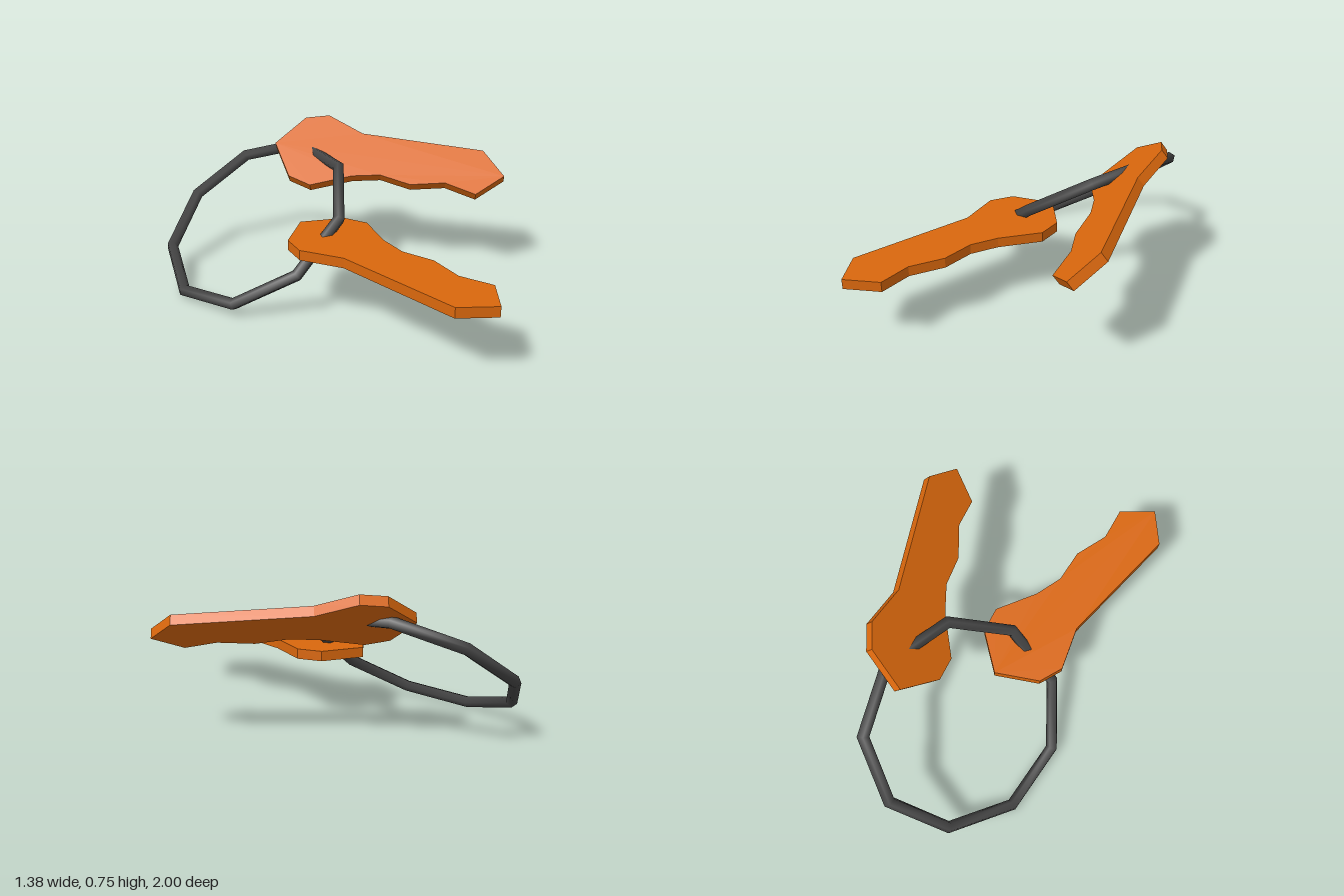
import * as THREE from 'three';

const keyMaterial = new THREE.MeshStandardMaterial({ color: 0xd9670d, flatShading: true });
const ringMaterial = new THREE.MeshStandardMaterial({ color: 0x444444 });
const THICKNESS = 0.05;

// Key outline around its ring point: head near the origin, blade along +z
const OUTLINE = [
  [0, -0.2], [0.185, -0.08], [0.22, 0.04], [0.13, 0.24], [0.1, 0.38], [0.13, 0.54], [0.09, 0.71],
  [0.13, 0.87], [0, 0.995], [-0.135, 0.87], [-0.135, 0.24], [-0.22, 0.04], [-0.185, -0.08],
];

// Orients an object by its long axis (z) and an approximate side axis (x)
function orient(object, sideAxis, longAxis) {
  const z = longAxis.clone().normalize();
  const y = z.clone().cross(sideAxis).normalize();
  const x = y.clone().cross(z);
  object.quaternion.setFromRotationMatrix(new THREE.Matrix4().makeBasis(x, y, z));
}

function makeKey(name) {
  const shape = new THREE.Shape(OUTLINE.map(([x, z]) => new THREE.Vector2(x, z)));
  const geometry = new THREE.ExtrudeGeometry(shape, { depth: THICKNESS, bevelEnabled: false });
  geometry.rotateX(Math.PI / 2).translate(0, THICKNESS / 2, 0);
  const key = new THREE.Mesh(geometry, keyMaterial);
  key.name = name;
  return key;
}

export function createModel() {
  const model = new THREE.Group();
  model.name = 'keyRing';

  // Nine-sided ring, tilted about the z axis
  const ring = new THREE.Mesh(new THREE.TorusGeometry(0.5, 0.03, 5, 9), ringMaterial);
  ring.name = 'ring';
  ring.position.set(-0.267, 0.318, -0.47);
  orient(ring, new THREE.Vector3(0, 0, -1), new THREE.Vector3(0.588, -0.809, 0));
  model.add(ring);

  // Level key pointing forward
  const flatKey = makeKey('flatKey');
  flatKey.position.set(-0.2, 0.341, 0);
  model.add(flatKey);

  // Second key, turned over and slanting to the left
  const tiltedKey = makeKey('tiltedKey');
  tiltedKey.position.set(0.113, 0.598, -0.443);
  orient(tiltedKey, new THREE.Vector3(-0.695, -0.605, 0.39), new THREE.Vector3(0.54, -0.08, 0.84));
  model.add(tiltedKey);

  return model;
}
